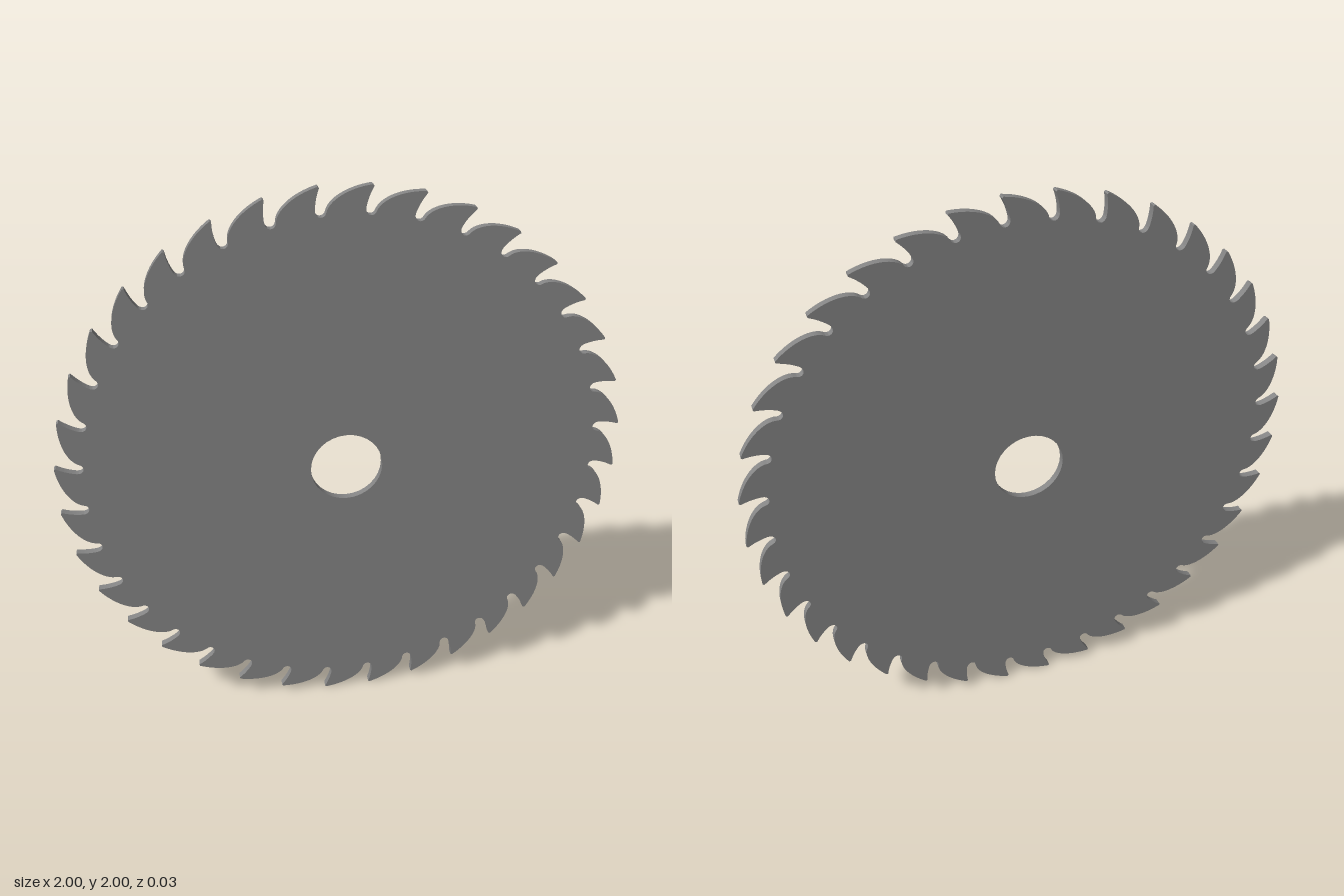
import * as THREE from 'three';
import { toCreasedNormals } from 'three/addons/utils/BufferGeometryUtils.js';

const TEETH = 36, THICKNESS = 0.027, BORE = 0.128;
const STEP = (Math.PI * 2) / TEETH;
const TIP = 1 / Math.cos(STEP / 2); // tips straddle the axes, so the blade spans 2 units

// Point at radius r, `deg` degrees counter-clockwise of the tip of tooth i
function polar(i, deg, r) {
  const a = Math.PI / 2 - STEP / 2 - i * STEP + THREE.MathUtils.degToRad(deg);
  return [r * Math.cos(a), r * Math.sin(a)];
}

function bladeShape() {
  const shape = new THREE.Shape();
  shape.moveTo(...polar(0, 0.25, TIP));
  for (let i = 0; i < TEETH; i++) {
    const p = (deg, r) => polar(i, deg, r);
    // blunt tip and hooked cutting face
    shape.lineTo(...p(0, TIP - 0.005));
    shape.quadraticCurveTo(...p(0.95, 0.965), ...p(1.2, 0.93));
    // round gullet
    shape.bezierCurveTo(...p(1.35, 0.902), ...p(-0.6, 0.899), ...p(-0.95, 0.92));
    // convex back rising to the next tip
    shape.bezierCurveTo(...p(-1.6, 0.955), ...p(-5, 0.991), ...p(-9.75, TIP));
  }
  shape.closePath();
  // the hole runs opposite to the clockwise outline, so its wall faces inward
  const bore = new THREE.Path();
  bore.absarc(0, 0, BORE, 0, Math.PI * 2, false);
  shape.holes.push(bore);
  return shape;
}

export function createModel() {
  const group = new THREE.Group();
  group.name = 'circularSawBlade';

  // Flat toothed disc with a round arbor hole
  const geometry = new THREE.ExtrudeGeometry(bladeShape(), {
    depth: THICKNESS, bevelEnabled: false, curveSegments: 16,
  });
  geometry.translate(0, 1, -THICKNESS / 2);
  const blade = new THREE.Mesh(
    toCreasedNormals(geometry, 0.6),
    new THREE.MeshStandardMaterial({ color: 0x858585 }),
  );
  blade.name = 'toothedBlade';
  group.add(blade);
  return group;
}
